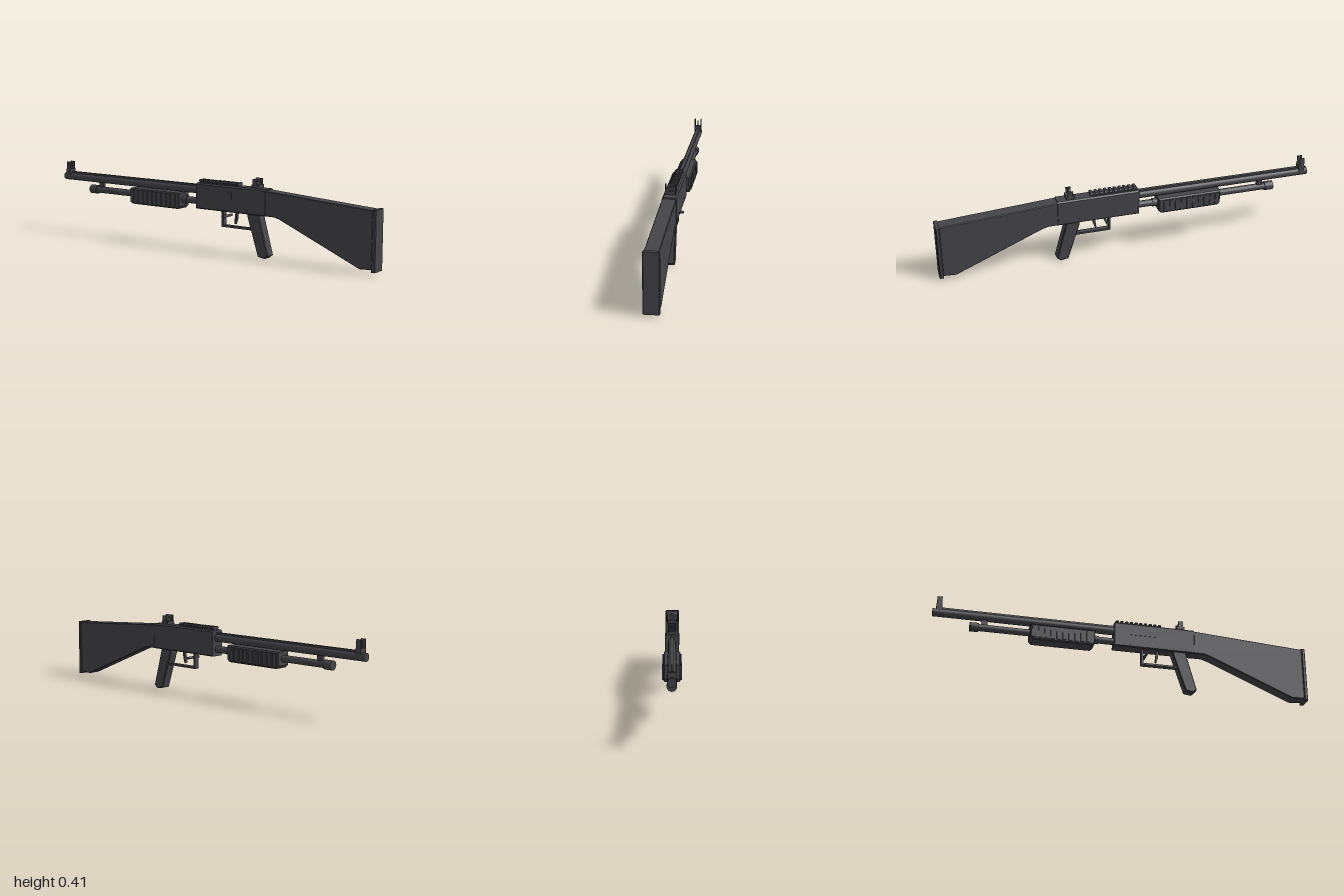
import * as THREE from 'three';

export function createModel() {
  const model = new THREE.Group();
  const steel = new THREE.MeshStandardMaterial({ color: 0x454449 });
  steel.name = 'dark grey';

  const add = (name, geometry, x = 0, y = 0, z = 0, parent = model) => {
    const mesh = new THREE.Mesh(geometry, steel);
    mesh.name = name;
    mesh.position.set(x, y, z);
    parent.add(mesh);
    return mesh;
  };
  const group = (name) => {
    const g = new THREE.Group();
    g.name = name;
    model.add(g);
    return g;
  };
  // Box given by its x, y and z ranges
  const box = (name, [x0, x1], [y0, y1], [z0, z1], parent) =>
    add(name, new THREE.BoxGeometry(x1 - x0, y1 - y0, z1 - z0),
      (x0 + x1) / 2, (y0 + y1) / 2, (z0 + z1) / 2, parent);
  // Side profile of [z, y] points, extruded across x with chamfered edges
  const slab = (name, points, half, bevel = 0, parent = model) => {
    const shape = new THREE.Shape(points.map(([z, y]) => new THREE.Vector2(z, y)));
    const geometry = new THREE.ExtrudeGeometry(shape, {
      depth: 2 * (half - bevel), bevelEnabled: bevel > 0, bevelSegments: 1,
      bevelSize: bevel, bevelThickness: bevel, bevelOffset: -bevel,
    });
    geometry.translate(0, 0, bevel - half).rotateY(-Math.PI / 2);
    return add(name, geometry, 0, 0, 0, parent);
  };
  // Cross-section of [x, y] points, extruded along z
  const prism = (name, points, z0, z1, parent) => {
    const shape = new THREE.Shape(points.map(([x, y]) => new THREE.Vector2(x, y)));
    return add(name, new THREE.ExtrudeGeometry(shape, { depth: z1 - z0, bevelEnabled: false }),
      0, 0, z0, parent);
  };
  const rod = (name, r, y, z0, z1, parent) =>
    add(name, new THREE.CylinderGeometry(r, r, z1 - z0, 20).rotateX(Math.PI / 2),
      0, y, (z0 + z1) / 2, parent);
  const pin = (name, r, half, y, z) =>
    add(name, new THREE.CylinderGeometry(r, r, half * 2, 12).rotateZ(Math.PI / 2), 0, y, z);

  // Shoulder stock and butt pad
  slab('stock', [[0.375, 0.222], [0.43, 0.222], [0.46, 0.213], [0.915, 0.02], [0.982, 0.024],
    [0.982, 0.31], [0.375, 0.35]], 0.035, 0.003);
  slab('buttPad', [[0.98, 0.012], [1, 0.012], [1, 0.314], [0.98, 0.314]], 0.04, 0.004);

  // Receiver with chamfered top edges
  prism('receiver', [[-0.036, 0.226], [-0.031, 0.221], [0.031, 0.221], [0.036, 0.226],
    [0.036, 0.35], [0.028, 0.357], [-0.028, 0.357], [-0.036, 0.35]], -0.055, 0.376);
  box('ejectionPort', [-0.038, -0.035], [0.29, 0.325], [0.02, 0.17]);
  pin('rearPin', 0.006, 0.0375, 0.24, 0.26);
  pin('frontPin', 0.006, 0.0375, 0.24, 0.03);

  // Barrel with top rib
  rod('barrel', 0.021, 0.317, -1, -0.05);
  box('barrelRib', [-0.009, 0.009], [0.33, 0.345], [-0.95, -0.05]);
  add('bore', new THREE.CircleGeometry(0.013, 20).rotateY(Math.PI), 0, 0.317, -1.0005);

  // Magazine tube, cap and barrel clamp
  rod('magazineTube', 0.018, 0.257, -0.78, -0.05);
  rod('tubeCap', 0.024, 0.257, -0.808, -0.762);
  rod('tubeCollar', 0.022, 0.257, -0.16, -0.135);
  box('barrelClamp', [-0.009, 0.009], [0.265, 0.305], [-0.748, -0.718]);

  // Sliding fore-end with side grooves
  const foreEnd = group('foreEnd');
  slab('foreEndBody', [[-0.5, 0.222], [-0.485, 0.207], [-0.175, 0.207], [-0.16, 0.222],
    [-0.16, 0.292], [-0.5, 0.292]], 0.042, 0.006, foreEnd);
  for (let i = 0; i < 10; i++) {
    const z = -0.48 + i * 0.0315;
    for (const s of [-1, 1]) {
      add('gripRib', new THREE.BoxGeometry(0.012, 0.066, 0.02), s * 0.0415, 0.25, z, foreEnd);
    }
  }

  // Pistol grip
  slab('pistolGrip', [[0.33, 0.225], [0.262, 0.225], [0.262, 0.205], [0.326, 0.008],
    [0.366, 0.001], [0.387, 0.018]], 0.027, 0.004);

  // Trigger guard, trigger and cross-bolt safety
  const guard = group('triggerGuard');
  box('guardBottom', [-0.014, 0.014], [0.137, 0.147], [0.093, 0.29], guard);
  box('guardFront', [-0.014, 0.014], [0.14, 0.225], [0.093, 0.104], guard);
  slab('trigger', [[0.188, 0.225], [0.176, 0.225], [0.168, 0.162], [0.175, 0.158],
    [0.184, 0.185]], 0.007);
  pin('safetyBolt', 0.007, 0.042, 0.195, 0.118);

  // Toothed accessory rail
  const rail = group('rail');
  box('railBase', [-0.018, 0.018], [0.354, 0.365], [-0.045, 0.2], rail);
  for (let i = 0; i < 10; i++) {
    const z = -0.045 + i * 0.0256;
    prism('railTooth', [[-0.018, 0.362], [0.018, 0.362], [0.023, 0.367], [0.018, 0.374],
      [-0.018, 0.374], [-0.023, 0.367]], z, z + 0.0146, rail);
  }

  // Rear aperture sight
  const rear = group('rearSight');
  box('rearSightBase', [-0.025, 0.025], [0.354, 0.375], [0.285, 0.328], rear);
  box('apertureStem', [-0.013, 0.013], [0.372, 0.383], [0.301, 0.313], rear);
  const disc = new THREE.Shape().absarc(0, 0, 0.017, 0, Math.PI * 2);
  disc.holes.push(new THREE.Path().absarc(0, 0, 0.006, 0, Math.PI * 2, true));
  add('aperture', new THREE.ExtrudeGeometry(disc,
    { depth: 0.012, bevelEnabled: false, curveSegments: 16 }), 0, 0.393, 0.301, rear);

  // Front post sight on the muzzle
  const front = group('frontSight');
  box('frontSightBase', [-0.02, 0.02], [0.325, 0.36], [-0.982, -0.952], front);
  box('frontPost', [-0.003, 0.003], [0.355, 0.392], [-0.971, -0.963], front);

  // Protective ears on both sights
  for (const s of [-1, 1]) {
    add('rearSightEar', new THREE.BoxGeometry(0.005, 0.045, 0.026), s * 0.0255, 0.382, 0.307, rear);
    add('frontSightEar', new THREE.BoxGeometry(0.005, 0.053, 0.026), s * 0.0175, 0.374, -0.967, front);
  }

  return model;
}
